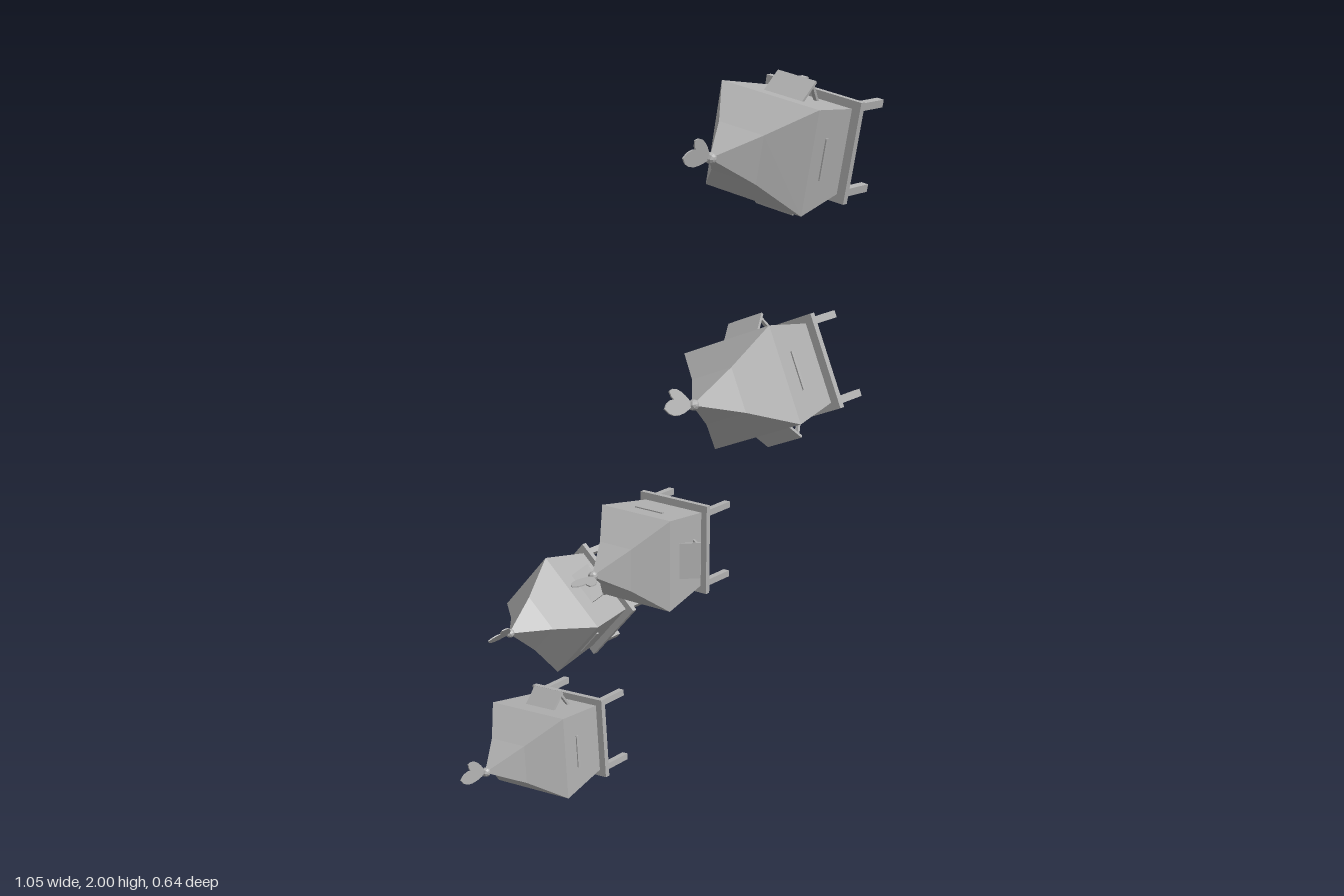
import * as THREE from 'three';

const stone = new THREE.MeshStandardMaterial({ color: 0xb0b0b0, flatShading: true, side: THREE.DoubleSide });
stone.name = 'pale grey';

const HX = 0.106, HY = 0.117; // half sizes at the eaves

function add(parent, name, geometry, x = 0, y = 0, z = 0) {
  const m = new THREE.Mesh(geometry, stone);
  m.name = name;
  m.position.set(x, y, z);
  parent.add(m);
  return m;
}

// Open four-sided shell through rectangular rings [z, scale]
function shell(rings) {
  const corners = [[1, -1], [1, 1], [-1, 1], [-1, -1]];
  const pos = [];
  const point = ([z, s], c) => [c[0] * HX * s, c[1] * HY * s, z];
  for (let i = 0; i < rings.length - 1; i++) {
    for (let k = 0; k < 4; k++) {
      const a = corners[k], b = corners[(k + 1) % 4];
      const a0 = point(rings[i], a), b0 = point(rings[i], b);
      const a1 = point(rings[i + 1], a), b1 = point(rings[i + 1], b);
      pos.push(...a0, ...b0, ...b1, ...a0, ...b1, ...a1);
    }
  }
  const g = new THREE.BufferGeometry();
  g.setAttribute('position', new THREE.Float32BufferAttribute(pos, 3));
  g.computeVertexNormals();
  return g;
}

// Flat bar between two points of the xz plane
function bar(parent, name, [x0, z0], [x1, z1], y, width, thick) {
  const g = new THREE.BoxGeometry(thick, width, Math.hypot(x1 - x0, z1 - z0));
  const m = add(parent, name, g, (x0 + x1) / 2, y, (z0 + z1) / 2);
  m.rotation.y = Math.atan2(x1 - x0, z1 - z0);
}

// Leaf-shaped pennant tail lying in the xz plane
function tail(parent, tipX, tipZ, width) {
  const len = Math.hypot(tipX, tipZ);
  const s = new THREE.Shape();
  s.moveTo(0, 0);
  s.bezierCurveTo(width * 0.5, len * 0.3, width * 0.9, len * 0.8, 0, len);
  s.bezierCurveTo(-width * 0.9, len * 0.8, -width * 0.5, len * 0.3, 0, 0);
  const g = new THREE.ExtrudeGeometry(s, { depth: 0.003, bevelEnabled: false, curveSegments: 6 });
  g.translate(0, 0, -0.0015);
  g.rotateX(Math.PI / 2);
  g.rotateY(Math.atan2(tipX, tipZ));
  add(parent, 'flagTail', g, 0, 0, 0.17);
}

// One tower whose axis runs along +z, with its legs toward -z
function tower() {
  const t = new THREE.Group();
  add(t, 'walls', shell([[-0.155, 0.82], [0, 1]]));
  add(t, 'roof', shell([[0, 1], [0.08, 0.46], [0.165, 0.03]]));

  // Platform ring around the open base
  const ring = new THREE.Shape();
  const hole = new THREE.Path();
  [[ring, 0.104, 0.115], [hole, 0.083, 0.092]].forEach(([p, x, y]) => {
    p.moveTo(-x, -y);
    p.lineTo(x, -y);
    p.lineTo(x, y);
    p.lineTo(-x, y);
    p.closePath();
  });
  ring.holes.push(hole);
  add(t, 'platform', new THREE.ExtrudeGeometry(ring, { depth: 0.014, bevelEnabled: false }), 0, 0, -0.166);

  // Legs
  for (const x of [-0.088, 0.088]) {
    for (const y of [-0.092, 0.092]) {
      add(t, 'leg', new THREE.BoxGeometry(0.016, 0.016, 0.1), x, y, -0.211);
    }
  }

  for (const s of [-1, 1]) {
    // Propped shutter on each x side
    bar(t, 'shutter', [s * 0.097, -0.047], [s * 0.135, -0.086], 0, 0.092, 0.006);
    for (const y of [-0.034, 0.034]) {
      bar(t, 'shutterProp', [s * 0.134, -0.084], [s * 0.088, -0.118], y, 0.008, 0.006);
    }
    // Slit ledge on each y side
    add(t, 'ledge', new THREE.BoxGeometry(0.084, 0.008, 0.008), 0, s * 0.109, -0.055);
  }

  // Finial and two-tailed pennant
  add(t, 'finial', new THREE.SphereGeometry(0.012, 8, 6), 0, 0, 0.167);
  tail(t, 0.011, 0.088, 0.032);
  tail(t, 0.042, 0.058, 0.026);
  return t;
}

export function createModel() {
  const model = new THREE.Group();
  // x, y, z of the eaves, turn in degrees, scale
  const towers = [
    [-0.392, 0.155, -0.042, 94, 1.06],
    [-0.275, 0.58, 0, 49, 0.97],
    [0, 0.795, 0, 0, 1],
    [0.327, 1.285, 0.022, 113, 1.11],
    [0.376, 1.843, 0.03, 80, 1.13],
  ];
  towers.forEach(([x, y, z, turn, scale], i) => {
    const t = tower();
    t.name = 'tower' + (i + 1);
    t.position.set(x, y, z);
    t.rotation.z = THREE.MathUtils.degToRad(turn);
    t.scale.setScalar(scale);
    model.add(t);
  });
  return model;
}
